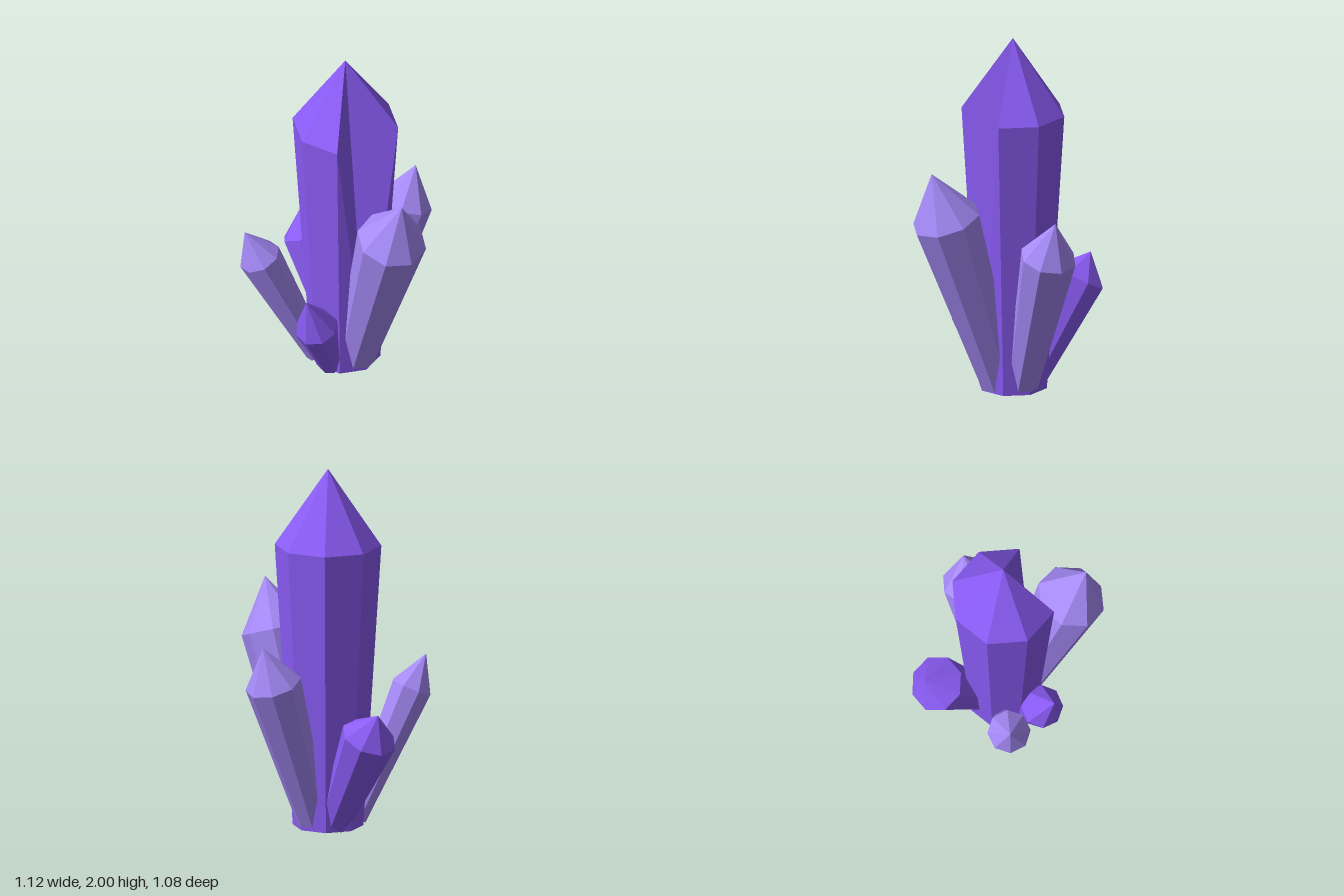
import * as THREE from 'three';

const SIDES = 8;
const violet = new THREE.MeshStandardMaterial({ color: 0x8b5cf6, flatShading: true });
const lilac = new THREE.MeshStandardMaterial({ color: 0xa78bfa, flatShading: true });
const UP = new THREE.Vector3(0, 1, 0);

// Eight-sided crystal: flat foot, flaring shaft, pointed cap
function crystalGeometry(footRadius, shoulderRadius, shaft, cap) {
  return new THREE.LatheGeometry([
    new THREE.Vector2(0, 0),
    new THREE.Vector2(footRadius, 0),
    new THREE.Vector2(shoulderRadius, shaft),
    new THREE.Vector2(0, shaft + cap),
  ], SIDES);
}

// Side crystal leaning from its foot centre to its shoulder centre
function leaningCrystal({ name, foot, shoulder, radii, cap, spin = 0, material }) {
  const base = new THREE.Vector3(...foot);
  const axis = new THREE.Vector3(...shoulder).sub(base);
  const geometry = crystalGeometry(radii[0], radii[1], axis.length(), cap);
  geometry.rotateY(spin);
  const mesh = new THREE.Mesh(geometry, material);
  mesh.name = name;
  mesh.position.copy(base);
  mesh.quaternion.setFromUnitVectors(UP, axis.normalize());
  return mesh;
}

// Tall centre crystal, with a hollow cleft running down its +x side
function mainCrystal() {
  const foot = 0.192, shoulder = 0.29, shaft = 1.567;
  const geometry = crystalGeometry(foot, shoulder, shaft, 0.425);
  const p = geometry.attributes.position;
  for (let i = 0; i < p.count; i++) {
    if (p.getX(i) > shoulder * 0.95) p.setXYZ(i, foot, 0, 0);
  }
  geometry.computeVertexNormals();
  const mesh = new THREE.Mesh(geometry, violet);
  mesh.name = 'mainCrystal';
  mesh.position.set(-0.045, 0.008, -0.003);
  return mesh;
}

export function createModel() {
  const group = new THREE.Group();
  group.name = 'crystalCluster';
  group.add(mainCrystal());

  const sideCrystals = [
    { name: 'leftCrystal', foot: [0.045, 0.04, -0.01], shoulder: [0.373, 1.03, -0.01],
      radii: [0.105, 0.192], cap: 0.29, material: lilac },
    { name: 'backCrystal', foot: [-0.045, 0.04, -0.11], shoulder: [-0.045, 0.86, -0.4],
      radii: [0.085, 0.155], cap: 0.227, material: lilac },
    { name: 'rightCrystal', foot: [-0.14, 0.045, -0.04], shoulder: [-0.43, 0.575, -0.045],
      radii: [0.085, 0.155], cap: 0.155, spin: -0.19, material: violet },
    { name: 'frontRightCrystal', foot: [-0.11, 0.035, 0.14], shoulder: [-0.235, 0.74, 0.435],
      radii: [0.063, 0.118], cap: 0.2, spin: Math.PI / 8, material: lilac },
    { name: 'frontLeftCrystal', foot: [0.012, 0.025, 0.135], shoulder: [0.055, 0.36, 0.265],
      radii: [0.063, 0.118], cap: 0.245, spin: Math.PI / 8, material: violet },
  ];
  for (const spec of sideCrystals) group.add(leaningCrystal(spec));

  return group;
}
